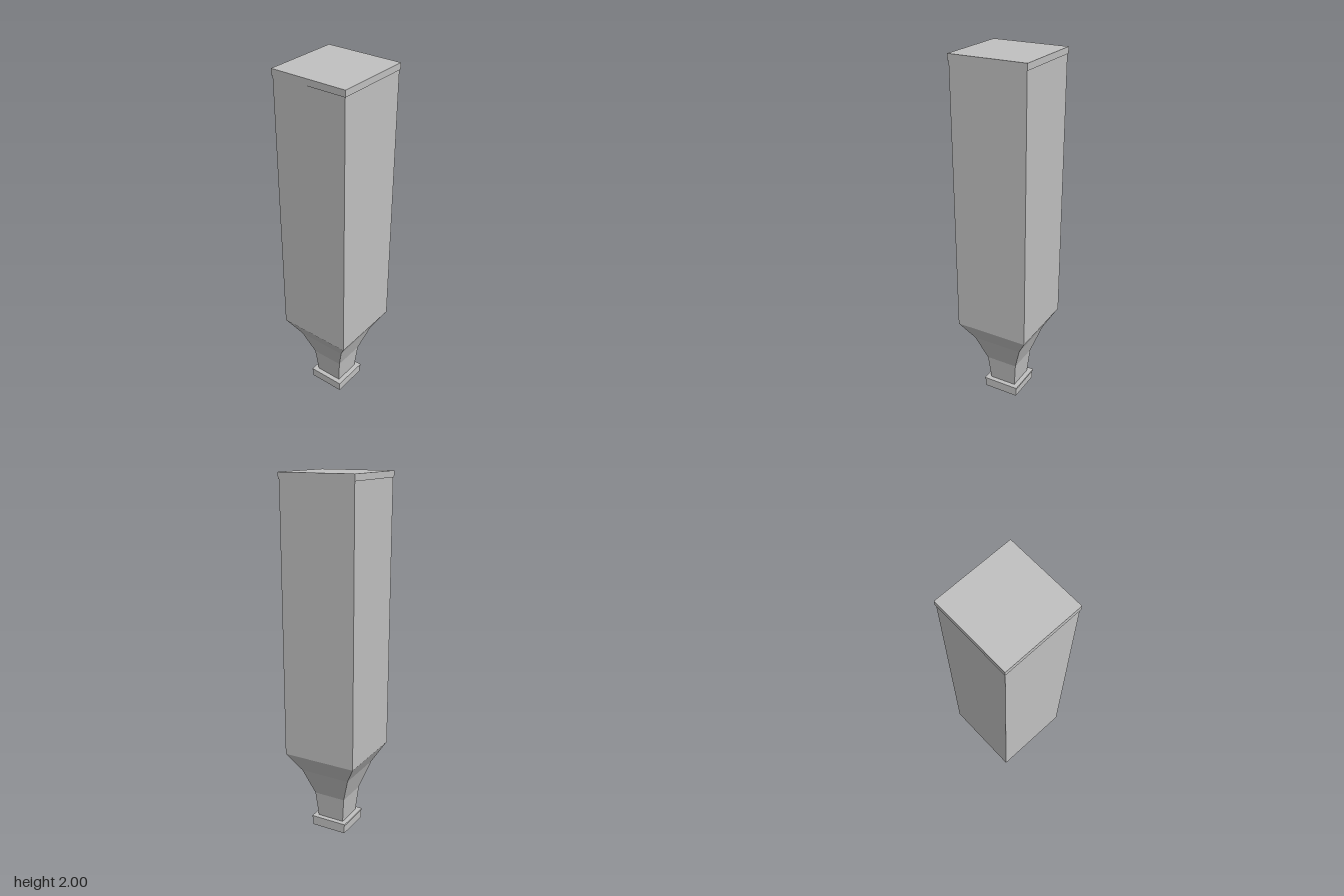
import * as THREE from 'three';

// Square tube lofted through [halfWidth, y] rings, listed bottom to top
function squareLoft(rings) {
  const pos = [];
  const corners = [[1, 1], [1, -1], [-1, -1], [-1, 1]];
  for (let i = 0; i < rings.length - 1; i++) {
    const [r0, y0] = rings[i];
    const [r1, y1] = rings[i + 1];
    for (let k = 0; k < 4; k++) {
      const [ax, az] = corners[k];
      const [bx, bz] = corners[(k + 1) % 4];
      const a = [ax * r0, y0, az * r0], b = [bx * r0, y0, bz * r0];
      const c = [bx * r1, y1, bz * r1], d = [ax * r1, y1, az * r1];
      pos.push(...a, ...b, ...c, ...a, ...c, ...d);
    }
  }
  const geometry = new THREE.BufferGeometry();
  geometry.setAttribute('position', new THREE.Float32BufferAttribute(pos, 3));
  geometry.computeVertexNormals();
  return geometry;
}

export function createModel() {
  const group = new THREE.Group();
  const metal = new THREE.MeshStandardMaterial({ color: 0xc0c0c0, side: THREE.DoubleSide });
  metal.name = 'lightGreyMetal';

  const add = (name, geometry, y = 0) => {
    const mesh = new THREE.Mesh(geometry, metal);
    mesh.name = name;
    mesh.position.y = y;
    group.add(mesh);
  };

  // Foot: open-bottomed square skirt under a slightly wider plate
  add('footSkirt', squareLoft([[0.103, 0], [0.103, 0.048]]));
  add('footPlate', new THREE.BoxGeometry(0.214, 0.01, 0.214), 0.053);

  // Neck flaring in three steps to the body
  add('flaredNeck', squareLoft([[0.079, 0.058], [0.093, 0.205], [0.146, 0.36], [0.212, 0.473]]));

  // Tall straight body
  add('body', squareLoft([[0.212, 0.473], [0.212, 1.968]]));

  // Shallow overhanging lid
  add('lid', new THREE.BoxGeometry(0.432, 0.034, 0.432), 1.983);

  return group;
}
